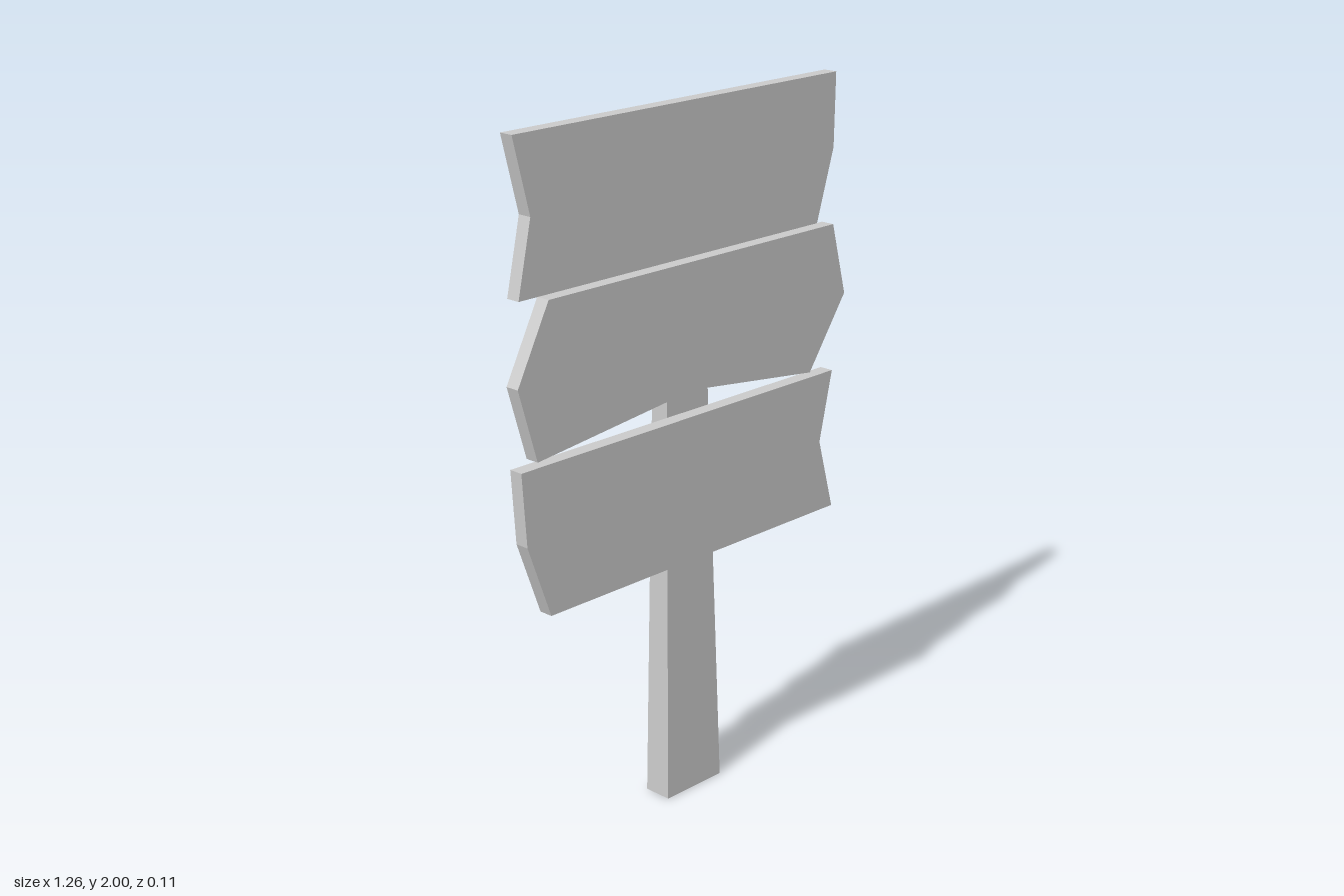
import * as THREE from 'three';

// The boards lie on the sloping front face of the post
const faceZ = (y) => 0.03 - 0.024 * y;
const THICKNESS = 0.042;

const material = new THREE.MeshStandardMaterial({ color: 0xcccccc, flatShading: true });

// Board outlines in x, y, counter-clockwise
const boards = {
  topBoard: [[-0.615, 2], [-0.565, 1.79], [-0.615, 1.585], [0.51, 1.585], [0.58, 1.79], [0.59, 2]],
  middleBoard: [[-0.515, 1.57], [-0.63, 1.36], [-0.573, 1.155], [0, 1.215], [0.48, 1.155], [0.63, 1.36], [0.58, 1.57]],
  bottomBoard: [[-0.63, 1.14], [-0.62, 0.935], [-0.547, 0.725], [0.577, 0.725], [0.523, 0.935], [0.577, 1.14]],
};

// Extrude an outline and lean it against the post
function makeBoard(name, outline) {
  const shape = new THREE.Shape(outline.map(([x, y]) => new THREE.Vector2(x, y)));
  const geometry = new THREE.ExtrudeGeometry(shape, { depth: THICKNESS, bevelEnabled: false });
  const p = geometry.attributes.position;
  for (let i = 0; i < p.count; i++) p.setZ(i, p.getZ(i) + faceZ(p.getY(i)));
  geometry.computeVertexNormals();
  const mesh = new THREE.Mesh(geometry, material);
  mesh.name = name;
  return mesh;
}

// Post: upright back, with sides and front tapering towards the top
function makePost() {
  const height = 1.715;
  const geometry = new THREE.BoxGeometry(1, height, 1);
  geometry.translate(0, height / 2, 0);
  const p = geometry.attributes.position;
  for (let i = 0; i < p.count; i++) {
    const y = p.getY(i);
    const halfWidth = THREE.MathUtils.lerp(0.108, 0.068, y / height);
    p.setX(i, 0.02 + Math.sign(p.getX(i)) * halfWidth);
    p.setZ(i, p.getZ(i) > 0 ? faceZ(y) : -0.055);
  }
  geometry.computeVertexNormals();
  const mesh = new THREE.Mesh(geometry, material);
  mesh.name = 'post';
  return mesh;
}

export function createModel() {
  const group = new THREE.Group();
  group.name = 'signpost';
  group.add(makePost());
  for (const [name, outline] of Object.entries(boards)) group.add(makeBoard(name, outline));
  return group;
}
